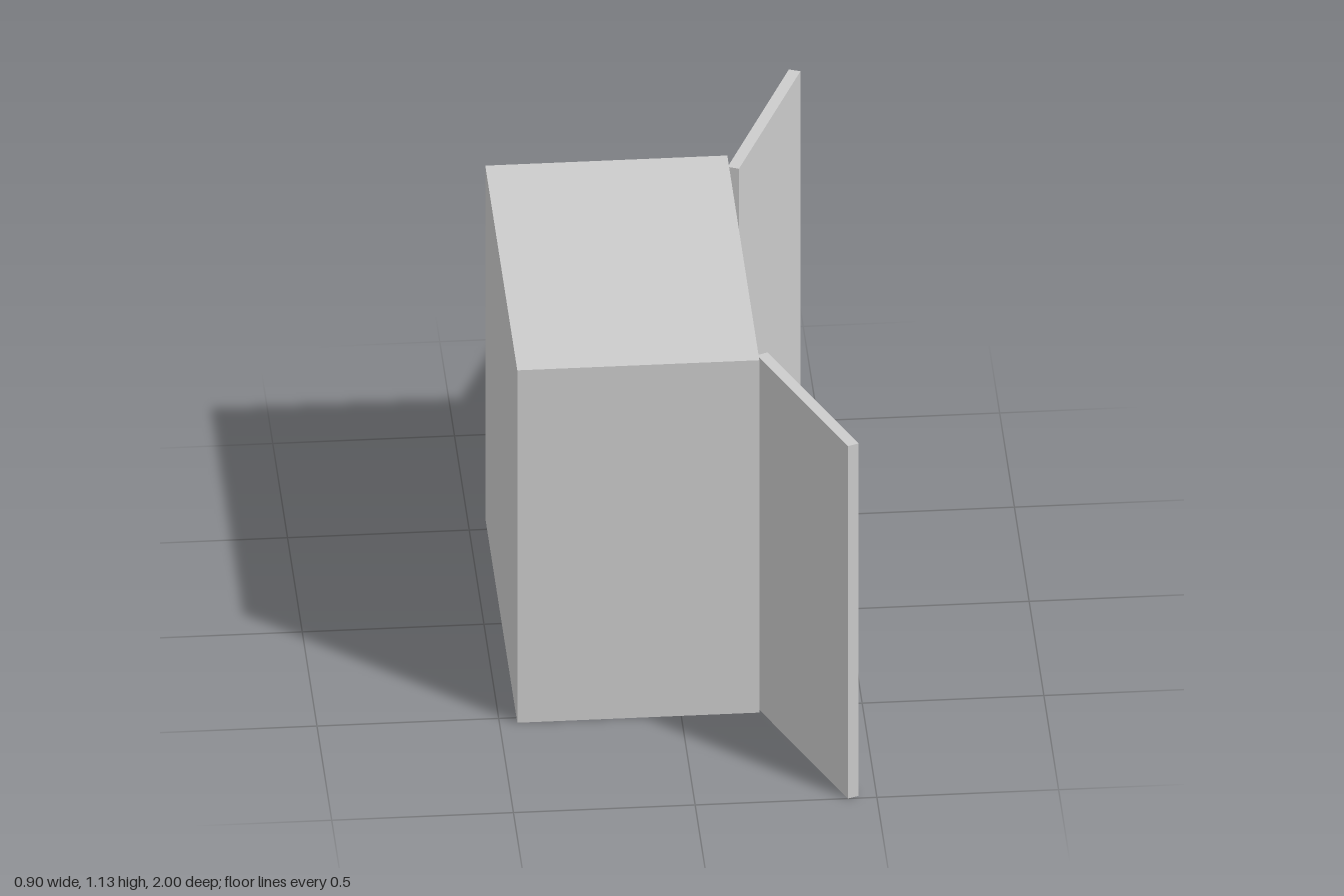
import * as THREE from 'three';

const material = new THREE.MeshStandardMaterial({ color: 0xcccccc, flatShading: true });
const HEIGHT = 1.13, BACK = -0.451, FRONT = 0.215, INNER_BACK = -0.42;
const CASE_Z = [0.527, -0.56];
const FLOOR = 0.067, CEILING = 1.065;
const SHELF_FRONT = 0.068, BOX_FRONT = 0.133;
const BAYS = { left: [0, 0.462], right: [-0.028, -0.497] }; // inner and outer wall of each bay, in z

function add(parent, name, geometry) {
  const mesh = new THREE.Mesh(geometry, material);
  mesh.name = name;
  parent.add(mesh);
}

// Box given by its limits on each axis
function block(parent, name, [x0, x1], [y0, y1], [z0, z1]) {
  const g = new THREE.BoxGeometry(x1 - x0, y1 - y0, Math.abs(z1 - z0));
  g.translate((x0 + x1) / 2, (y0 + y1) / 2, (z0 + z1) / 2);
  add(parent, name, g);
}

const outline = (points) => points.map(([a, b]) => new THREE.Vector2(a, b));

// Extrude a (z, y) outline along x
function extrudeX(points, x0, x1, holes = []) {
  const flip = (list) => outline(list.map(([z, y]) => [-z, y]));
  const shape = new THREE.Shape(flip(points));
  holes.forEach((h) => shape.holes.push(new THREE.Path(flip(h))));
  const g = new THREE.ExtrudeGeometry(shape, { depth: x1 - x0, bevelEnabled: false });
  return g.rotateY(Math.PI / 2).translate(x0, 0, 0);
}

const rect = ([z0, z1], y0, y1) => [[z0, y0], [z1, y0], [z1, y1], [z0, y1]];

export function createModel() {
  const model = new THREE.Group();
  model.name = 'cabinet';

  // Case: frame with two open bays, closed by a back panel
  const bayHoles = Object.values(BAYS).map((z) => rect(z, FLOOR, CEILING));
  add(model, 'caseFrame', extrudeX(rect(CASE_Z, 0, HEIGHT), INNER_BACK, FRONT, bayHoles));
  block(model, 'backPanel', [BACK, INNER_BACK], [0, HEIGHT], CASE_Z);

  // Shelves and a deeper bottom box in each bay
  for (const [side, z] of Object.entries(BAYS)) {
    const bay = new THREE.Group();
    bay.name = side + 'Bay';
    model.add(bay);
    const depth = [INNER_BACK, SHELF_FRONT];
    for (const y of [0.316, 0.514, 0.713]) block(bay, 'shelf', depth, [y, y + 0.044], z);
    // Top shelf on the left, closed top box on the right
    if (side === 'left') block(bay, 'topShelf', depth, [0.909, 0.955], z);
    else block(bay, 'topBox', depth, [0.909, CEILING], z);
    block(bay, 'bottomBox', [INNER_BACK, BOX_FRONT], [FLOOR, 0.222], z);
  }

  // Small catches on the outer walls and the two opened doors
  for (const [side, s] of [['left', 1], ['right', -1]]) {
    const wall = BAYS[side][1];
    const profile = [[0, 0.222], [0.018, 0.222], [0.02, 0.228], [0.03, 0.232], [0.028, 0.24],
      [0.014, 0.254], [0.012, 0.282], [0, 0.282]];
    add(model, side + 'Catch', extrudeX(profile.map(([d, y]) => [wall - s * d, y]), 0.1, BOX_FRONT));

    const plan = [[0.211, 0.5], [0.241, 0.487], [0.451, 0.988], [0.42, 1]];
    const door = new THREE.ExtrudeGeometry(
      new THREE.Shape(outline(plan.map(([x, z]) => [x, -s * z]))),
      { depth: HEIGHT, bevelEnabled: false });
    add(model, side + 'Door', door.rotateX(-Math.PI / 2));
  }

  return model;
}
